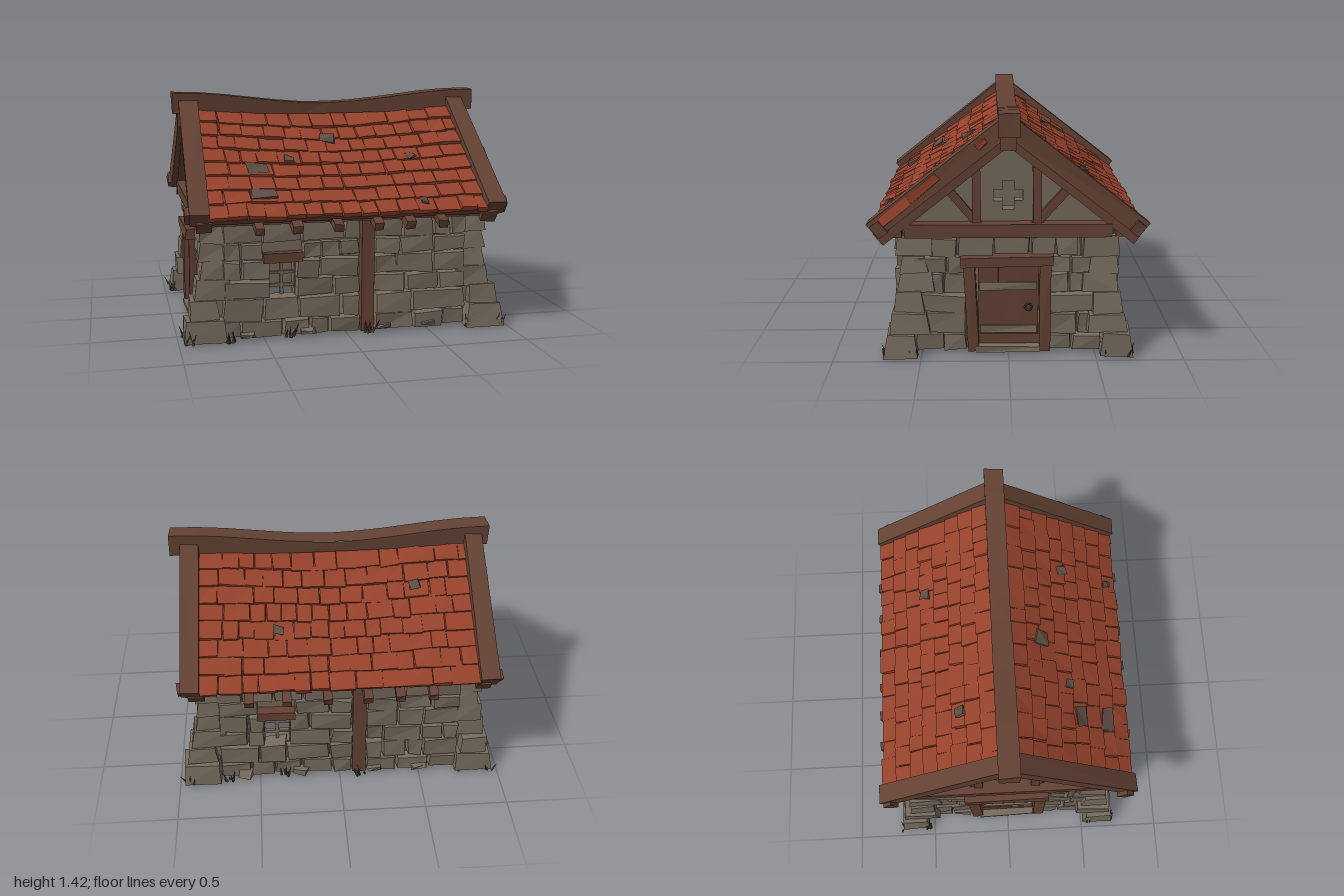
import * as THREE from 'three';
import { mergeGeometries } from 'three/addons/utils/BufferGeometryUtils.js';

const mat = (name, color) => {
  const m = new THREE.MeshStandardMaterial({ color });
  m.name = name;
  return m;
};

export function createModel() {
  const M = {
    stone: mat('stone', 0x776c5e), mortar: mat('mortar', 0x766a5b),
    wood: mat('wood', 0x644234), door: mat('doorWood', 0x644034),
    tile: mat('clayTile', 0x96422c), bare: mat('bareBoard', 0x5e4d43),
    grass: mat('dryGrass', 0x4f4a38), metal: mat('iron', 0x4a453e),
  };
  let seed = 7;
  const rnd = (a = 0, b = 1) => {
    seed = (seed * 16807) % 2147483647;
    return a + (b - a) * (seed / 2147483647);
  };

  // Flat-faced box with wobbly corners; taper insets the +z face
  function block(size, pos, rot = [0, 0, 0], wobble = 0.004, taper = 0, segX = 1, segZ = 1) {
    const g = new THREE.BoxGeometry(...size, segX, 1, segZ);
    const p = g.attributes.position;
    const off = Array.from({ length: 24 }, () => rnd(-wobble, wobble));
    for (let i = 0; i < p.count; i++) {
      const x = p.getX(i), y = p.getY(i), z = p.getZ(i);
      const k = 3 * ((x > 0) + 2 * (y > 0) + 4 * (z > 0));
      const t = z > 0 ? taper : 0;
      p.setXYZ(i, x - Math.sign(x) * t + off[k], y - Math.sign(y) * t + off[k + 1], z + off[k + 2]);
    }
    g.applyMatrix4(new THREE.Matrix4().makeRotationFromEuler(new THREE.Euler(...rot)).setPosition(...pos));
    const flat = g.toNonIndexed();
    flat.computeVertexNormals();
    return flat;
  }
  function part(parent, name, material, geos) {
    const mesh = new THREE.Mesh(mergeGeometries(geos), material);
    mesh.name = name;
    parent.add(mesh);
  }
  // Sink the middle of the length, fading in from height y0 over the given range
  function sag(g, depth = 0.045, y0 = 0.75, range = 0.35) {
    const p = g.attributes.position;
    for (let i = 0; i < p.count; i++) {
      const x = p.getX(i), y = p.getY(i);
      const t = Math.min(1, Math.max(0, (y - y0) / range));
      p.setY(i, y - depth * t * (0.5 + 0.5 * Math.cos(Math.PI * Math.min(1, Math.abs(x) / 0.95))));
    }
    g.computeVertexNormals();
    return g;
  }
  const A = 0.667;
  // Point on the roof slope: s down from the ridge, n out from the surface
  const onSlope = (x, s, n) => [x, 1.312 - s * Math.sin(A) + n * Math.cos(A), 0.05 + s * Math.cos(A) + n * Math.sin(A)];
  const polygon = (pts) => new THREE.Shape(pts.map(([x, y]) => new THREE.Vector2(x, y)));
  const flare = (y) => Math.max(0, 1 - y / 0.45) ** 1.2;

  // Courses of stones on a wall facing +z, leaving the gaps [u0, u1, y0, y1] free
  function masonry(u0, u1, w, gaps) {
    const out = [];
    const courses = [0, 0.1, 0.23, 0.34, 0.46, 0.56, 0.68];
    for (let r = 0; r < 6; r++) {
      const y0 = courses[r], y1 = courses[r + 1];
      const cuts = gaps.filter((g) => g[3] > y0 + 0.03 && g[2] < y1 - 0.03).sort((a, b) => a[0] - b[0]);
      let from = u0;
      for (const [c0, c1] of [...cuts, [u1, u1]]) {
        while (c0 - from > 0.04) {
          let width = rnd(0.1, 0.27);
          if (c0 - from - width < 0.08) width = c0 - from;
          const h = y1 - y0 + rnd(0, 0.01);
          const d = rnd(0.07, 0.09) + 0.02 * flare(y0);
          out.push(block([width + 0.003, h, d], [from + width / 2, y0 + h / 2 + 0.005, w - 0.035 + d / 2],
            [rnd(-0.03, 0.03), rnd(-0.03, 0.03), y0 > 0 ? rnd(-0.06, 0.06) : 0], 0.007, 0.009));
          from += width;
        }
        from = Math.max(from, c1);
      }
    }
    return out;
  }

  function buildHalf(spots) {
    const half = new THREE.Group();

    // Long wall with a window
    const wall = polygon([[-0.8, 0.005], [0.8, 0.005], [0.8, 0.72], [-0.8, 0.72]]);
    wall.holes.push(polygon([[-0.46, 0.23], [-0.46, 0.45], [-0.31, 0.45], [-0.31, 0.23]]));
    part(half, 'longWall', M.mortar, [new THREE.ExtrudeGeometry(wall, { depth: 0.09, bevelEnabled: false }).translate(0, 0, 0.515)]);
    part(half, 'longWallStones', M.stone, masonry(-0.74, 0.74, 0.6, [[-0.46, -0.31, 0.23, 0.46], [-0.5, -0.27, 0.46, 0.5], [0.08, 0.165, 0, 1]]));
    part(half, 'windowLintel', M.wood, [block([0.23, 0.055, 0.09], [-0.385, 0.478, 0.625])]);
    part(half, 'windowBars', M.mortar, [
      block([0.02, 0.22, 0.02], [-0.385, 0.34, 0.58], [0, 0, 0], 0.002),
      ...[0.3, 0.375].map((y) => block([0.15, 0.018, 0.02], [-0.385, y, 0.58], [0, 0, 0], 0.002))]);
    part(half, 'wallPost', M.wood, [block([0.08, 0.7, 0.12], [0.122, 0.355, 0.61])]);
    part(half, 'innerCornerPost', M.wood, [block([0.08, 0.7, 0.07], [-0.68, 0.36, 0.485])]);
    part(half, 'wallPlate', M.wood, [block([1.74, 0.065, 0.09], [0, 0.72, 0.65])]);

    // End wall and gable with a cross-shaped opening
    const end = polygon([[-0.6, 0.005], [0.6, 0.005], [0.6, 0.74], [0, 1.23], [-0.6, 0.74]]);
    const a = 0.033, b = 0.083, c = 0.92;
    end.holes.push(polygon([[-a, c - b], [-a, c - a], [-b, c - a], [-b, c + a], [-a, c + a], [-a, c + b],
      [a, c + b], [a, c + a], [b, c + a], [b, c - a], [a, c - a], [a, c - b]]));
    const side = new THREE.Group();
    side.name = 'gableEnd';
    side.rotation.y = Math.PI / 2;
    half.add(side);
    part(side, 'gableWall', M.mortar, [new THREE.ExtrudeGeometry(end, { depth: 0.09, bevelEnabled: false }).translate(0, 0, 0.73)]);
    part(side, 'endWallStones', M.stone, masonry(-0.54, 0.54, 0.81, [[-0.24, 0.23, 0, 0.56]]));
    part(side, 'tieBeam', M.wood, [block([1.17, 0.075, 0.12], [0, 0.73, 0.84])]);
    part(side, 'gableTimbers', M.wood, [
      block([0.05, 0.36, 0.06], [-0.18, 0.91, 0.835]),
      block([0.05, 0.36, 0.06], [0.165, 0.91, 0.835]),
      block([0.045, 0.27, 0.05], [-0.255, 0.855, 0.83], [0, 0, 0.68]),
      block([0.045, 0.33, 0.05], [0.26, 0.875, 0.83], [0, 0, -0.72]),
      block([0.085, 0.075, 0.13], [0, 1.235, 0.865])]);

    // Door with its frame, bands and ring
    part(side, 'door', M.door, [-0.115, 0, 0.115].map((u) => block([0.116, 0.46, 0.03], [u, 0.28, 0.828], [0, 0, 0], 0.002)));
    part(side, 'doorFrame', M.wood, [
      block([0.065, 0.52, 0.1], [-0.212, 0.27, 0.845], [0, 0, 0.05]),
      block([0.065, 0.52, 0.1], [0.207, 0.27, 0.845]),
      block([0.53, 0.06, 0.13], [-0.01, 0.553, 0.85], [0, 0, 0.015]),
      block([0.36, 0.055, 0.04], [0, 0.075, 0.84])]);
    part(side, 'doorBands', M.mortar, [0.39, 0.13].map((y) => block([0.33, 0.045, 0.015], [0, y, 0.848])));
    part(side, 'doorRing', M.metal, [new THREE.TorusGeometry(0.02, 0.006, 5, 8).translate(0.115, 0.265, 0.855)]);
    part(side, 'doorStep', M.stone, [block([0.38, 0.04, 0.14], [0, 0.022, 0.83], [0, 0, 0], 0.008, 0.006)]);

    // Flared corner piers
    const pier = [];
    for (const sx of [-1, 1]) {
      let y = 0.004;
      for (let i = 0; i < 6; i++) {
        const h = [0.13, 0.11, 0.12, 0.11, 0.1, 0.11][i];
        const f = flare(y + h * 0.4);
        const ox = 0.87 + 0.115 * f + rnd(-0.01, 0.01), oz = 0.632 + 0.088 * f + rnd(-0.01, 0.01);
        const w = (i % 2 ? 0.16 : 0.21) + 0.03 * f, d = (i % 2 ? 0.21 : 0.16) + 0.03 * f;
        const g = block([w, d, h + 0.004], [0, 0, 0], [-Math.PI / 2, 0, 0], 0.009, 0.012);
        pier.push(g.translate(sx * (ox - w / 2), y + h / 2 + 0.002, oz - d / 2));
        y += h;
      }
    }
    part(half, 'cornerPiers', M.stone, pier);

    // Loose rocks and grass along the foot of the walls
    const rocks = [], blades = [];
    for (const x of [-0.6, -0.25, 0.22, 0.5]) {
      rocks.push(block([0.1, 0.05, 0.06], [x, 0.03, 0.66], [0, rnd(-0.4, 0.4), 0], 0.012, 0.012));
    }
    for (const [x, z] of [[-0.94, 0.7], [-0.95, 0.55], [0.94, 0.7], [0.95, 0.54], [-0.7, 0.7], [-0.35, 0.67], [0.13, 0.69], [0.75, 0.7]]) {
      for (let i = 0; i < 7; i++) {
        const h = rnd(0.04, 0.095);
        blades.push(new THREE.ConeGeometry(0.009, h, 3).translate(0, h / 2, 0)
          .rotateZ(rnd(-0.5, 0.5)).rotateX(rnd(-0.4, 0.4)).translate(x + rnd(-0.03, 0.03), 0.002, z + rnd(-0.02, 0.02)));
      }
    }
    part(half, 'footRocks', M.stone, rocks);
    part(half, 'grassTufts', M.grass, blades);

    // Roof boards, rafter tails and overlapping tiles
    part(half, 'roofBoards', M.wood, [sag(block([1.72, 0.03, 0.92], onSlope(0, 0.44, -0.055), [A, 0, 0], 0, 0, 10, 6))]);
    part(half, 'rafterTails', M.wood, [-0.54, -0.32, -0.08, 0.16, 0.35, 0.55].map((x) =>
      block([0.055, 0.05, 0.25], [x, 0.702, 0.665], [0.32, 0, 0])));
    const tiles = [];
    for (let r = 0; r < 8; r++) {
      let x = -0.83;
      while (x < 0.83) {
        let w = rnd(0.09, 0.16);
        if (0.83 - x - w < 0.06) w = 0.83 - x;
        const s = (r + 0.5) * 0.113 + rnd(-0.006, 0.006);
        tiles.push(sag(block([w - 0.004, 0.03, 0.14], onSlope(x + w / 2, s, rnd(-0.022, -0.013)),
          [A - 0.13, rnd(-0.02, 0.02), 0], 0.005)));
        x += w;
      }
    }
    part(half, 'roofTiles', M.tile, tiles);
    part(half, 'barePatches', M.bare, spots.map(([x, z, w, d]) =>
      sag(block([w, 0.008, d], onSlope(x, (z - 0.05) / Math.cos(A), 0.012), [A - 0.13, rnd(-0.3, 0.3), 0], 0.012))));

    // Verge boards with thick feet and a rafter beneath
    const verge = [], under = [];
    for (const sx of [-1, 1]) {
      verge.push(block([0.11, 0.1, 0.94], [sx * 0.872, 1.03, 0.39], [A, sx * 0.015, 0], 0.006));
      verge.push(block([0.12, 0.08, 0.06], [sx * 0.895, 0.755, 0.72], [A, 0, 0], 0.005));
      under.push(block([0.09, 0.08, 0.92], [sx * 0.85, 0.97, 0.37], [A, 0, 0], 0.005));
    }
    part(half, 'vergeBoards', M.wood, verge);
    part(half, 'gableRafters', M.wood, under);
    return half;
  }

  const model = new THREE.Group();
  model.name = 'cottage';
  const front = buildHalf([[-0.03, 0.24, 0.1, 0.08], [-0.5, 0.46, 0.13, 0.07], [-0.49, 0.63, 0.14, 0.08],
    [0.46, 0.4, 0.05, 0.05], [-0.3, 0.39, 0.05, 0.05], [0.45, 0.71, 0.04, 0.05]]);
  front.name = 'frontHalf';
  const back = buildHalf([[-0.35, 0.46, 0.05, 0.05], [0.48, 0.26, 0.06, 0.05]]);
  back.name = 'backHalf';
  back.rotation.y = Math.PI;
  model.add(front, back);

  // Tiles slipped over the edge of one verge
  part(model, 'slippedTiles', M.tile, [
    block([0.025, 0.055, 0.25], [0.93, 0.835, 0.65], [A, 0, 0], 0.008),
    block([0.025, 0.045, 0.22], [0.925, 0.98, 0.475], [A + 0.05, 0, 0], 0.008),
    block([0.02, 0.03, 0.06], [0.922, 1.23, 0.15], [A, 0, 0], 0.006)]);

  // Sagging ridge beam
  part(model, 'ridgeBeam', M.wood, [sag(block([1.95, 0.13, 0.12], [0.015, 1.343, 0], [0, 0, 0], 0.004, 0, 12), 0.075, 1.25, 0.16)]);
  return model;
}
